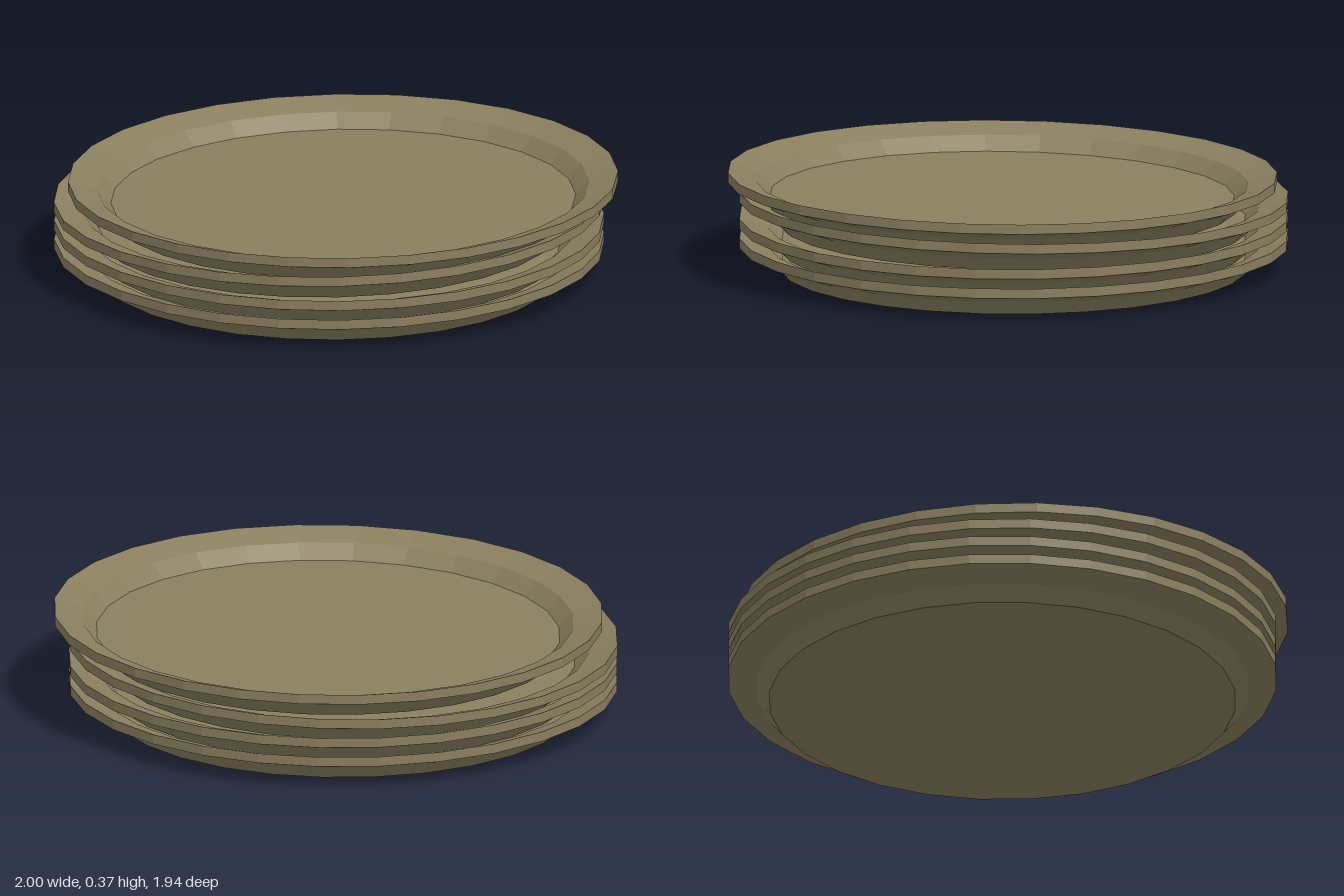
import * as THREE from 'three';

// Cross-section of one plate: underside outward, then over the rim and back in
const PROFILE = [
  [0, 0], [0.825, 0], [0.87, 0.05], [0.97, 0.085],
  [0.97, 0.12], [0.868, 0.087], [0.82, 0.037], [0, 0.037],
].map(([r, y]) => new THREE.Vector2(r, y));

// Placement of each plate, from the bottom of the stack to the top
const PLATES = [
  { name: 'bottomPlate', x: -0.03, y: 0, z: 0, turn: 0, tilt: 0 },
  { name: 'secondPlate', x: -0.03, y: 0.07, z: 0, turn: 0, tilt: 0 },
  { name: 'thirdPlate', x: -0.029, y: 0.149, z: 0, turn: 0, tilt: 0.018 },
  { name: 'topPlate', x: 0.03, y: 0.23, z: -0.004, turn: -0.016, tilt: 0.016 },
];

export function createModel() {
  const stack = new THREE.Group();
  stack.name = 'plateStack';

  const clay = new THREE.MeshStandardMaterial({ color: 0x8a7f5f });
  clay.name = 'oliveClay';
  clay.flatShading = true;

  const plateGeometry = new THREE.LatheGeometry(PROFILE, 28);

  for (const { name, x, y, z, turn, tilt } of PLATES) {
    const plate = new THREE.Mesh(plateGeometry, clay);
    plate.name = name;
    plate.position.set(x, y, z);
    plate.rotation.set(0, turn, tilt);
    stack.add(plate);
  }
  return stack;
}
